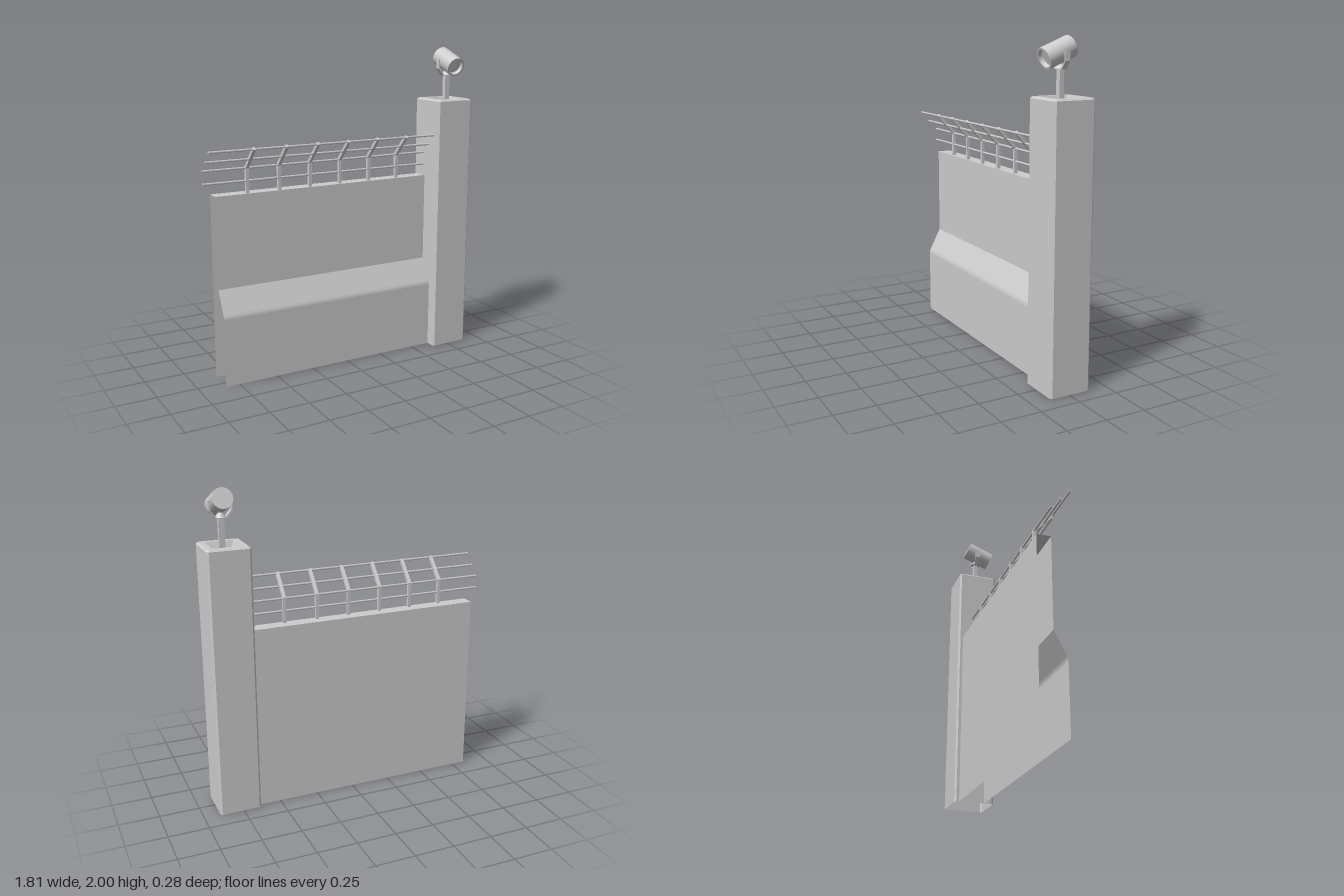
import * as THREE from 'three';
import { toCreasedNormals } from 'three/addons/utils/BufferGeometryUtils.js';

const grey = new THREE.MeshStandardMaterial({ color: 0xcccccc, side: THREE.DoubleSide });

function add(parent, name, geometry, x = 0, y = 0, z = 0) {
  const mesh = new THREE.Mesh(geometry, grey);
  mesh.name = name;
  mesh.position.set(x, y, z);
  parent.add(mesh);
  return mesh;
}

// Flat-shaded skin between successive rows of points.
function skin(rows, closed) {
  const pos = [];
  for (let r = 0; r < rows.length - 1; r++) {
    const a = rows[r], b = rows[r + 1], n = a.length;
    for (let i = 0; i < (closed ? n : n - 1); i++) {
      const j = (i + 1) % n;
      pos.push(...a[i], ...a[j], ...b[j], ...a[i], ...b[j], ...b[i]);
    }
  }
  const g = new THREE.BufferGeometry();
  g.setAttribute('position', new THREE.Float32BufferAttribute(pos, 3));
  g.computeVertexNormals();
  return g;
}

// Square with chamfered corners, counter-clockwise from above.
function squareRing(y, h, c) {
  const k = h - c;
  return [[h, k], [h, -k], [k, -h], [-k, -h], [-h, -k], [-h, k], [-k, h], [k, h]]
    .map(([x, z]) => [x, y, z]);
}

function extrude(points, depth) {
  const shape = new THREE.Shape(points.map(([x, y]) => new THREE.Vector2(x, y)));
  const g = new THREE.ExtrudeGeometry(shape, { depth, bevelEnabled: false });
  return g.translate(0, 0, -depth / 2);
}

export function createModel() {
  const model = new THREE.Group();
  model.name = 'guardedWall';

  // Wall shell, open at the ends and underneath, with a sloped plinth
  const profile = [[0.06, 0], [0.06, 0.425], [0.058, 0.437], [0.053, 0.45],
    [-0.02, 0.59], [-0.02, 1.16], [-0.107, 1.16], [-0.107, 0]];
  add(model, 'wall', skin(profile.map(([z, y]) => [[-0.84, y, z], [0.65, y, z]]), false));

  // Pillar, hollow below, with a recessed top
  const rings = [[0, 0.131, 0.012], [1.657, 0.131, 0.012], [1.667, 0.121, 0.01],
    [1.667, 0.088, 0.001], [1.62, 0.068, 0.001], [1.62, 0.001, 0.0002]];
  add(model, 'pillar', skin(rings.map((r) => squareRing(...r)), true), 0.767, 0, -0.006);

  // Fence: bent posts carrying four rails
  const fence = new THREE.Group();
  fence.name = 'fence';
  model.add(fence);
  const postShape = [[-0.05, 1.155], [-0.03, 1.155], [-0.03, 1.311],
    [0.085, 1.436], [0.071, 1.45], [-0.05, 1.319]];
  const postGeometry = extrude(postShape, 0.02).rotateY(-Math.PI / 2);
  for (let i = -3; i < 3; i++) add(fence, 'post', postGeometry, i * 0.21, 0, 0);

  const railGeometry = new THREE.CylinderGeometry(0.007, 0.007, 1.56, 8).rotateZ(Math.PI / 2);
  for (const [y, z] of [[1.235, -0.04], [1.313, -0.04], [1.373, 0.018], [1.438, 0.075]]) {
    add(fence, 'rail', railGeometry, -0.13, y, z);
  }

  // Floodlight on a pole
  const light = new THREE.Group();
  light.name = 'floodlight';
  light.position.set(0.77, 0, 0.011);
  model.add(light);
  add(light, 'pole', new THREE.BoxGeometry(0.034, 0.21, 0.028), 0, 1.72, 0);
  add(light, 'poleCap', new THREE.CylinderGeometry(0.015, 0.033, 0.025, 12), 0, 1.833, 0);

  const half = [[0.07, 1.92], [0.07, 1.86], [0.034, 1.815]];
  const inner = [[0.062, 1.92], [0.062, 1.863], [0.03, 1.824]];
  const flip = (pts) => pts.map(([x, y]) => [-x, y]);
  const yoke = [...half, ...flip(half).reverse(), ...flip(inner), ...inner.slice().reverse()];
  add(light, 'yoke', extrude(yoke, 0.03));

  // Tilted lamp body with a recessed lens
  const lampProfile = [[0, -0.09], [0.062, -0.09], [0.062, 0.09], [0.05, 0.09], [0.047, 0.065], [0, 0.065]]
    .map(([r, y]) => new THREE.Vector2(r, y));
  const lamp = add(light, 'lamp',
    toCreasedNormals(new THREE.LatheGeometry(lampProfile, 28), 0.6), 0, 1.905, 0.021);
  lamp.rotation.x = THREE.MathUtils.degToRad(111.6);

  return model;
}
